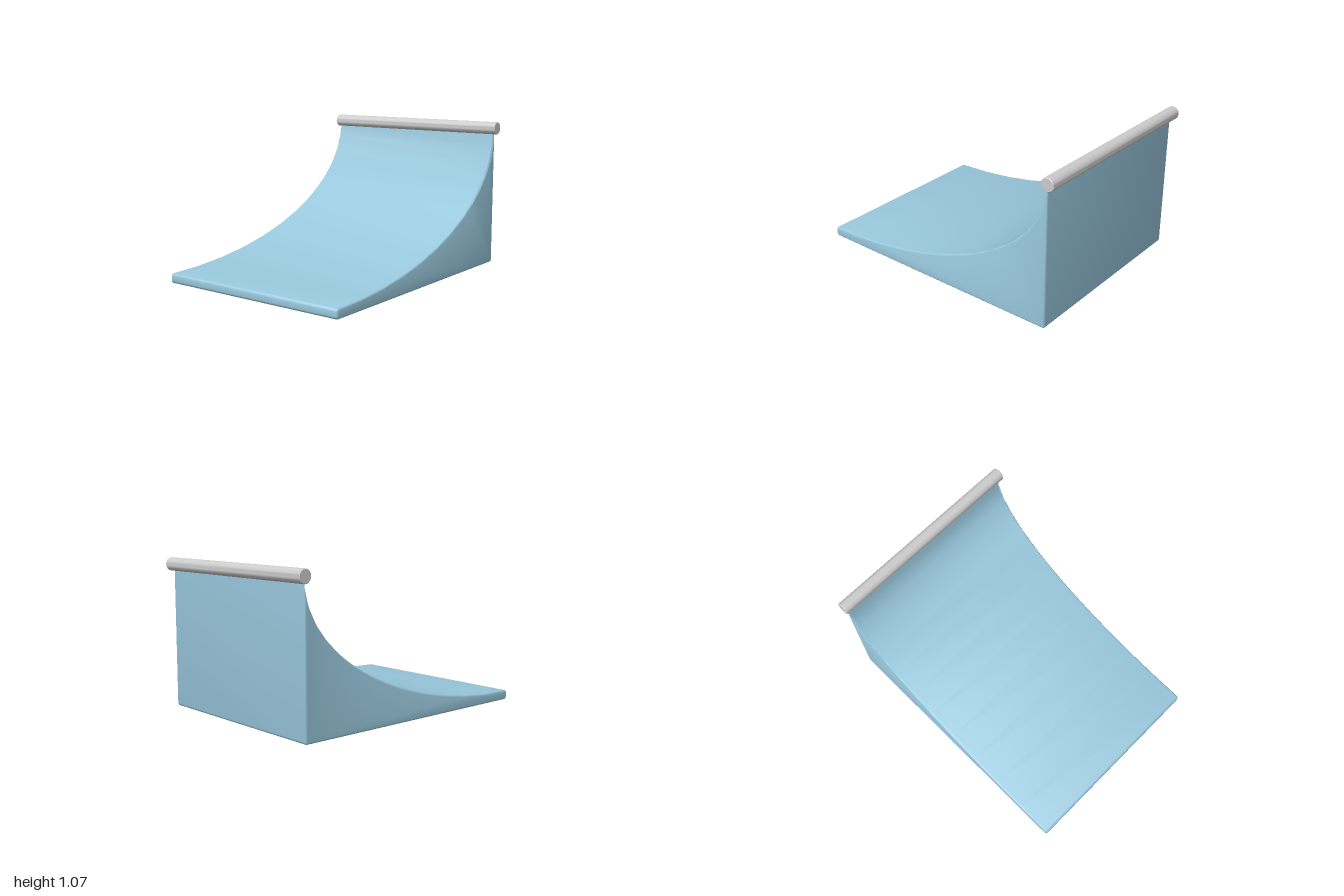
import * as THREE from 'three';
import { toCreasedNormals } from 'three/addons/utils/BufferGeometryUtils.js';

const HALF_WIDTH = 0.73, BACK_X = 0.945, CORNER = 0.018, BEVEL = 0.013;

// Side outline of the ramp, counter-clockwise, shrunk inwards by d
function rampOutline(d) {
  const pts = [];
  const corner = (cx, cy, from) => {
    for (let i = 0; i <= 3; i++) {
      const a = from + (i / 3) * Math.PI / 2;
      pts.push(new THREE.Vector2(cx + (CORNER - d) * Math.cos(a), cy + (CORNER - d) * Math.sin(a)));
    }
  };
  corner(-1 + CORNER, CORNER, Math.PI);
  corner(BACK_X - CORNER, CORNER, -Math.PI / 2);
  // Quarter-ellipse riding surface, from the tip down to the front lip
  const cx = -1 + CORNER, cy = 1.02, rx = BACK_X - cx, ry = 0.95;
  const tip = Math.asin((rx - d) / (rx + d));
  for (let i = 12; i >= 1; i--) {
    const t = tip * i / 12;
    pts.push(new THREE.Vector2(cx + (rx + d) * Math.sin(t), cy - (ry + d) * Math.cos(t)));
  }
  corner(cx, 0.07 - CORNER, Math.PI / 2);
  return pts;
}

// Loft the outline across the width, rounding the two side edges
function rampGeometry() {
  const rings = [];
  const steps = 3;
  for (let i = 0; i <= steps; i++) {
    const a = (i / steps) * Math.PI / 2;
    rings.push([HALF_WIDTH - BEVEL * (1 - Math.cos(a)), BEVEL * (1 - Math.sin(a))]);
  }
  // rings run from the inset side face (z = HALF_WIDTH) to the full outline
  const levels = [
    ...rings.map(([z, d]) => [-z, d]),
    ...rings.slice().reverse(),
  ];
  const positions = [], index = [];
  const n = rampOutline(0).length;
  for (const [z, d] of levels) for (const p of rampOutline(d)) positions.push(p.x, p.y, z);
  for (let k = 0; k < levels.length - 1; k++) {
    for (let i = 0; i < n; i++) {
      const j = (i + 1) % n, a = k * n, b = a + n;
      index.push(a + i, a + j, b + j, a + i, b + j, b + i);
    }
  }
  // Side faces
  const last = (levels.length - 1) * n;
  for (const [a, b, c] of THREE.ShapeUtils.triangulateShape(rampOutline(BEVEL), [])) {
    index.push(last + a, last + b, last + c, c, b, a);
  }
  const geometry = new THREE.BufferGeometry();
  geometry.setAttribute('position', new THREE.Float32BufferAttribute(positions, 3));
  geometry.setIndex(index);
  return toCreasedNormals(geometry, 0.7);
}

// Round rail with slightly softened ends
function railGeometry() {
  const r = 0.047, h = 0.747, e = 0.004;
  const profile = [[0, -h], [r - e, -h], [r, -h + e], [r, h - e], [r - e, h], [0, h]];
  const geometry = new THREE.LatheGeometry(profile.map(([x, y]) => new THREE.Vector2(x, y)), 32);
  geometry.rotateX(Math.PI / 2);
  return toCreasedNormals(geometry, 0.6);
}

export function createModel() {
  const group = new THREE.Group();
  group.name = 'quarterPipe';

  const ramp = new THREE.Mesh(rampGeometry(), new THREE.MeshStandardMaterial({ color: 0x99c8dd }));
  ramp.name = 'ramp';

  const rail = new THREE.Mesh(railGeometry(), new THREE.MeshStandardMaterial({ color: 0xcccccc }));
  rail.name = 'copingRail';
  rail.position.set(0.953, 1.025, 0);

  group.add(ramp, rail);
  return group;
}
